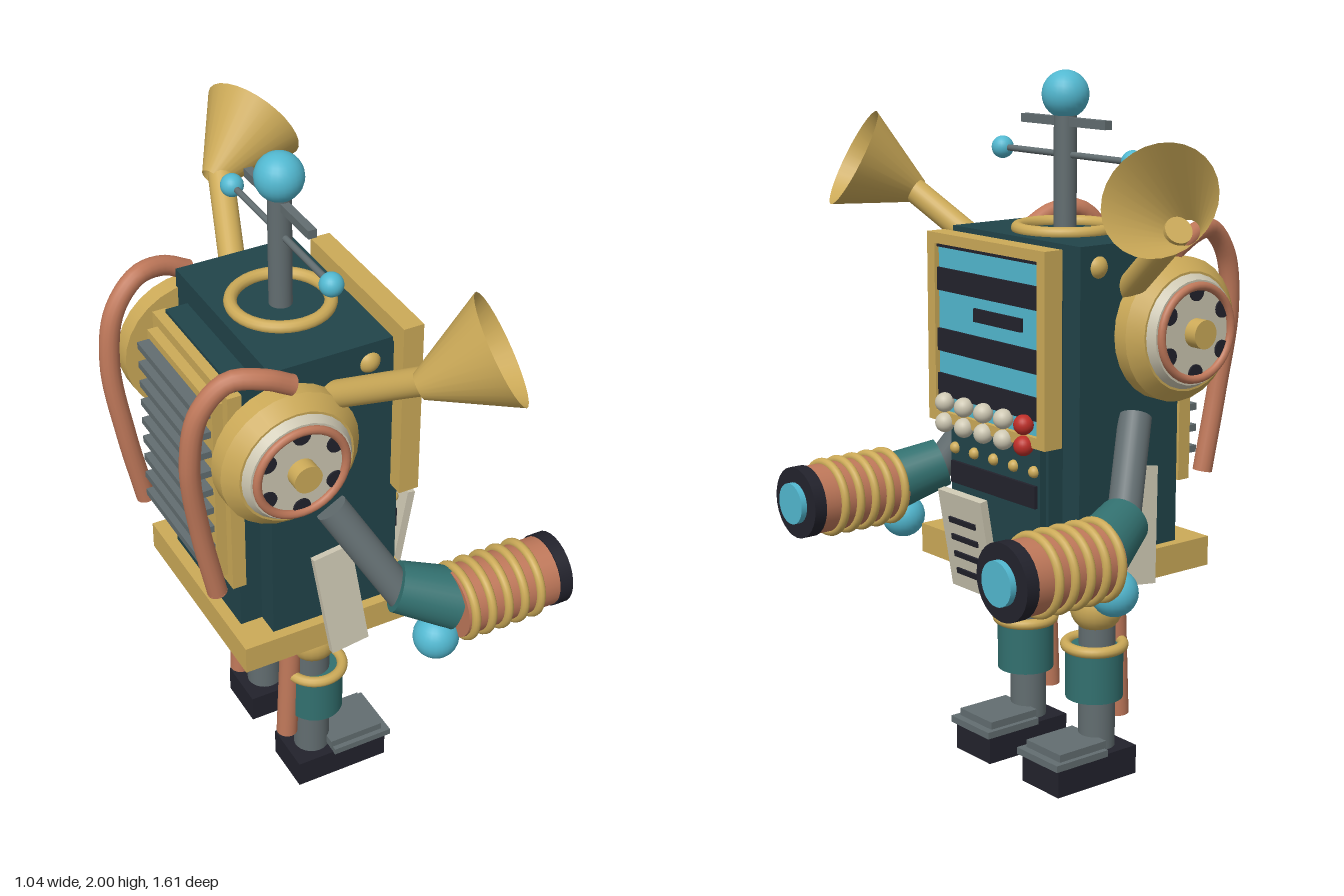
import * as THREE from 'three';

const V = (x, y, z) => new THREE.Vector3(x, y, z);
const mat = (name, color, side = THREE.FrontSide) => {
  const m = new THREE.MeshStandardMaterial({ color, side });
  m.name = name;
  return m;
};

export function createModel() {
  const M = {
    hull: mat('dark teal', 0x21444a),
    teal: mat('teal', 0x32706f),
    gold: mat('gold', 0xccaa58, THREE.DoubleSide),
    grey: mat('steel grey', 0x626d70),
    cyan: mat('cyan', 0x52b8d0),
    dark: mat('near black', 0x22222c),
    copper: mat('copper', 0xbf785a),
    ivory: mat('ivory', 0xcdc7b2),
    red: mat('red', 0xbd2e28),
  };
  const model = new THREE.Group();
  model.name = 'robot';

  // helpers
  const add = (name, geo, m, pos = V(0, 0, 0), parent = model) => {
    const mesh = new THREE.Mesh(geo, m);
    mesh.name = name;
    mesh.position.copy(pos);
    parent.add(mesh);
    return mesh;
  };
  // box from its minimum and maximum corners
  const box = (name, m, x0, x1, y0, y1, z0, z1, parent) =>
    add(name, new THREE.BoxGeometry(x1 - x0, y1 - y0, z1 - z0), m,
      V((x0 + x1) / 2, (y0 + y1) / 2, (z0 + z1) / 2), parent);
  const ball = (name, m, r, pos, parent) =>
    add(name, new THREE.SphereGeometry(r, 24, 16), m, pos, parent);
  // round bar between two points, r0 at a and r1 at b
  const rod = (name, m, a, b, r0, r1 = r0, open = false, parent = model) => {
    const d = b.clone().sub(a);
    const mesh = add(name, new THREE.CylinderGeometry(r1, r0, d.length(), 28, 1, open), m,
      a.clone().add(b).multiplyScalar(0.5), parent);
    mesh.quaternion.setFromUnitVectors(V(0, 1, 0), d.normalize());
    return mesh;
  };
  const ring = (name, m, R, r, pos, axis, parent) => {
    const mesh = add(name, new THREE.TorusGeometry(R, r, 12, 40), m, pos, parent);
    mesh.quaternion.setFromUnitVectors(V(0, 0, 1), axis);
    return mesh;
  };

  // body: nested boxes on a wide plate
  box('bodyCore', M.hull, -0.275, 0.08, 0.69, 1.56, -0.28, 0.28);
  box('bodyInner', M.hull, -0.34, 0.13, 0.69, 1.49, -0.21, 0.21);
  box('frontPanel', M.hull, 0.05, 0.152, 0.69, 1.1, -0.2, 0.2);
  box('basePlate', M.gold, -0.375, 0.18, 0.61, 0.695, -0.31, 0.31);

  // back radiator
  box('radiatorBase', M.gold, -0.37, -0.33, 0.85, 1.48, -0.23, 0.23);
  box('radiatorPanel', M.gold, -0.4, -0.36, 0.88, 1.45, -0.2, 0.2);
  for (let i = 0; i < 9; i++) {
    const y = 0.92 + i * 0.062;
    box('radiatorSlat', M.grey, -0.435, -0.39, y - 0.01, y + 0.01, -0.19, 0.19);
  }

  // screen with frame, bands and cursor
  box('screenBacking', M.gold, 0.125, 0.155, 1.02, 1.555, -0.26, 0.26);
  box('screen', M.cyan, 0.155, 0.17, 1.05, 1.53, -0.23, 0.23);
  for (const s of [-1, 1]) {
    box('frameSide', M.gold, 0.15, 0.185, 1.02, 1.555, s * 0.243 - 0.017, s * 0.243 + 0.017);
  }
  box('frameTop', M.gold, 0.15, 0.185, 1.525, 1.555, -0.226, 0.226);
  box('frameBottom', M.gold, 0.15, 0.185, 1.02, 1.05, -0.226, 0.226);
  for (const y of [1.425, 1.253, 1.125]) {
    box('screenBand', M.dark, 0.17, 0.178, y - 0.032, y + 0.032, -0.225, 0.225);
  }
  box('screenTopLine', M.dark, 0.17, 0.178, 1.515, 1.525, -0.225, 0.225);
  box('screenCursor', M.dark, 0.17, 0.178, 1.325, 1.362, -0.15, 0.06);

  // buttons and rivets
  for (let i = 0; i < 5; i++) {
    const z = 0.178 - i * 0.0888;
    for (const y of [1.08, 1.022]) ball('button', i === 4 ? M.red : M.ivory, 0.028, V(0.19, y, z));
    ball('panelRivet', M.gold, 0.017, V(0.153, 0.943, z));
  }
  box('slot', M.dark, 0.14, 0.162, 0.842, 0.905, -0.19, 0.19);

  // tilted front tongue with vents
  const tongue = new THREE.Group();
  tongue.name = 'tongue';
  tongue.position.set(0.24, 0.718, 0);
  tongue.rotation.z = -0.17;
  model.add(tongue);
  box('tonguePlate', M.ivory, -0.012, 0.012, -0.145, 0.145, -0.097, 0.097, tongue);
  for (let i = 0; i < 4; i++) {
    const y = 0.065 - i * 0.052;
    box('tongueVent', M.dark, 0.01, 0.018, y - 0.008, y + 0.008, -0.058, 0.058, tongue);
  }

  // top ring and antenna
  ring('topRing', M.gold, 0.133, 0.018, V(-0.1, 1.568, 0), V(0, 1, 0));
  rod('antennaMast', M.grey, V(-0.1, 1.54, 0), V(-0.1, 1.89, 0), 0.032);
  ball('antennaBall', M.cyan, 0.066, V(-0.1, 1.934, 0));
  rod('antennaBar', M.grey, V(-0.1, 1.77, -0.28), V(-0.1, 1.77, 0.28), 0.009);
  box('antennaUpperBar', M.grey, -0.112, -0.088, 1.848, 1.872, -0.18, 0.18);

  for (const s of [1, -1]) {
    const P = (x, y, z) => V(x, y, s * z);
    const X = V(1, 0, 0), Z = V(0, 0, s);
    ball('antennaTip', M.cyan, 0.032, P(-0.1, 1.77, 0.28));

    // side dial
    const dial = (x) => P(-0.24, 1.31, x);
    rod('dialRim', M.gold, dial(0.27), dial(0.325), 0.2);
    rod('dialBevel', M.gold, dial(0.325), dial(0.362), 0.2, 0.165);
    rod('dialFace', M.ivory, dial(0.355), dial(0.385), 0.163, 0.145);
    ring('dialRing', M.copper, 0.128, 0.012, dial(0.389), Z);
    for (let i = 0; i < 6; i++) {
      const a = Math.PI / 2 + i * Math.PI / 3, x = -0.24 + 0.112 * Math.cos(a), y = 1.31 + 0.112 * Math.sin(a);
      rod('dialHole', M.dark, P(x, y, 0.37), P(x, y, 0.39), 0.025);
    }
    rod('dialHub', M.gold, dial(0.38), dial(0.425), 0.04);

    // horn
    const mouth = P(0.155, 1.725, 0.665), dir = P(0.79, 0.47, 0.39).normalize();
    const throat = mouth.clone().addScaledVector(dir, -0.22);
    rod('hornStem', M.gold, P(-0.1, 1.43, 0.27), P(0.005, 1.63, 0.575), 0.037);
    rod('hornBell', M.gold, throat, mouth, 0.035, 0.152, true);
    ball('hornRivet', M.gold, 0.035, P(0.015, 1.5, 0.262));

    // rear hose
    const hose = new THREE.CatmullRomCurve3([
      P(-0.23, 1.53, 0.31), P(-0.3, 1.565, 0.305), P(-0.39, 1.57, 0.28), P(-0.465, 1.49, 0.265),
      P(-0.492, 1.33, 0.255), P(-0.465, 1.1, 0.24), P(-0.42, 0.87, 0.235)]);
    add('rearHose', new THREE.TubeGeometry(hose, 40, 0.028, 14), M.copper);
    for (const t of [0, 1]) {
      const p = hose.getPoint(t), d = hose.getTangent(t).multiplyScalar(t ? 0.004 : -0.004);
      rod('hoseEnd', M.copper, p, p.clone().add(d), 0.028);
    }

    // arm
    rod('upperArm', M.grey, P(-0.105, 1.08, 0.295), P(0.06, 0.79, 0.43), 0.046);
    rod('elbow', M.teal, P(0.035, 0.835, 0.41), P(0.19, 0.78, 0.475), 0.072, 0.088);
    ball('elbowBall', M.cyan, 0.065, P(0.127, 0.673, 0.48));
    rod('forearm', M.copper, P(0.17, 0.775, 0.48), P(0.465, 0.775, 0.48), 0.1);
    for (let i = 0; i < 5; i++) {
      ring('forearmRing', M.gold, 0.102, 0.013, P(0.19 + i * 0.052, 0.775, 0.48), X);
    }
    rod('cuff', M.dark, P(0.463, 0.775, 0.48), P(0.502, 0.775, 0.48), 0.104);
    rod('lens', M.cyan, P(0.5, 0.775, 0.48), P(0.52, 0.775, 0.48), 0.06);

    // hip flap
    const flap = add('hipFlap', new THREE.BoxGeometry(0.115, 0.325, 0.02), M.ivory, P(-0.093, 0.782, 0.328));
    flap.rotation.set(-0.12 * s, 0, 0.12);

    // leg
    rod('legTube', M.grey, P(-0.093, 0, 0.157), P(-0.093, 0.63, 0.157), 0.053);
    ball('kneeBall', M.gold, 0.077, P(-0.09, 0.508, 0.157));
    rod('shin', M.teal, P(-0.083, 0.24, 0.157), P(-0.083, 0.395, 0.157), 0.083);
    ring('shinRing', M.gold, 0.082, 0.016, P(-0.083, 0.395, 0.157), V(0, 1, 0));
    rod('calfHose', M.copper, P(-0.155, 0.62, 0.157), P(-0.175, 0.165, 0.157), 0.031);

    // foot
    const foot = new THREE.Group();
    foot.name = 'foot';
    foot.position.z = s * 0.157;
    model.add(foot);
    box('footBlock', M.dark, -0.175, 0.115, 0.002, 0.088, -0.08, 0.08, foot);
    box('toePlate', M.grey, -0.06, 0.128, 0.085, 0.105, -0.09, 0.09, foot);
    box('toeCap', M.grey, -0.065, 0.105, 0.1, 0.127, -0.075, 0.075, foot);
  }
  return model;
}
